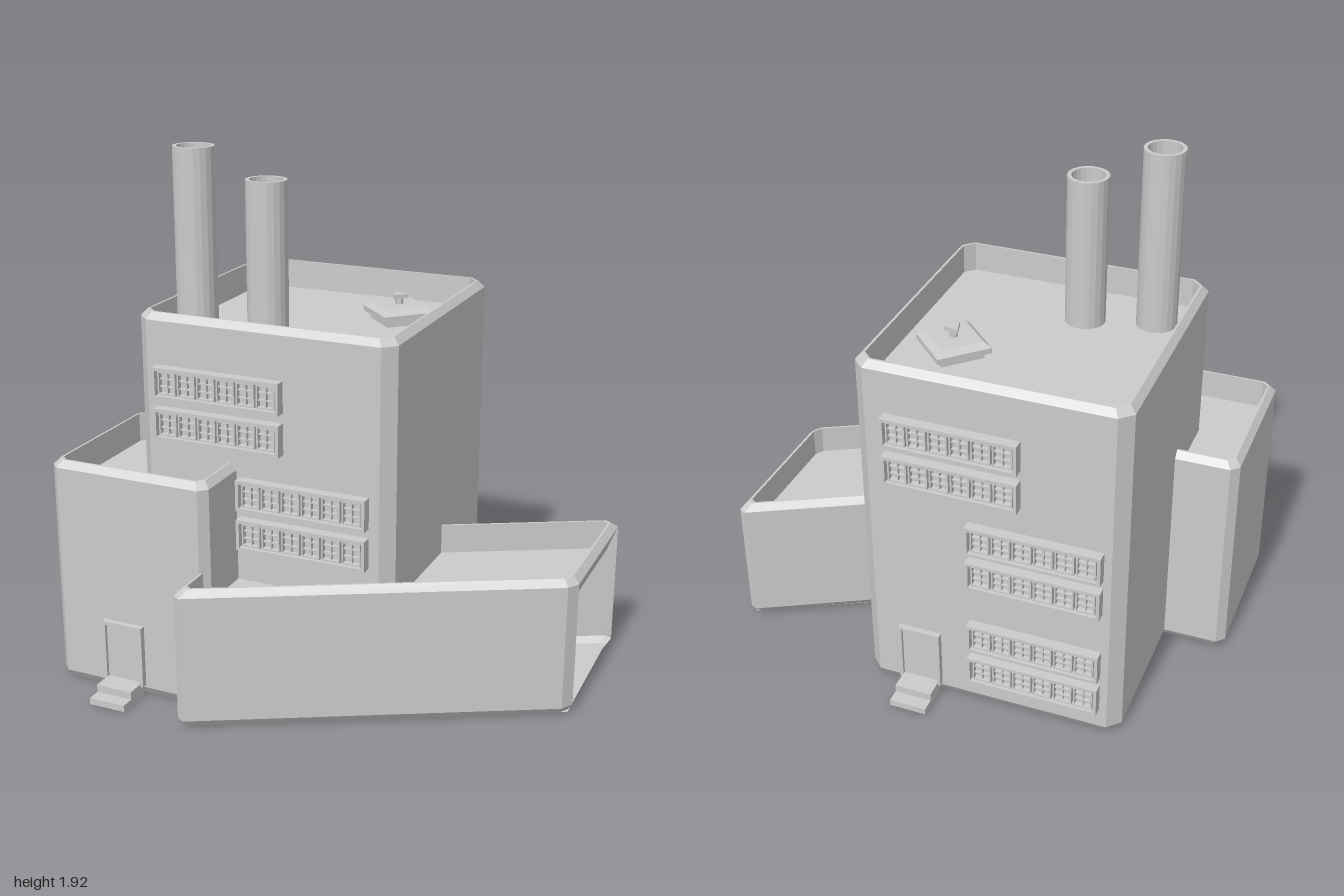
import * as THREE from 'three';

const mat = new THREE.MeshStandardMaterial({ color: 0xcccccc, flatShading: true, side: THREE.DoubleSide });

function addMesh(parent, name, geometry, x = 0, y = 0, z = 0) {
  const m = new THREE.Mesh(geometry, mat);
  m.name = name;
  m.position.set(x, y, z);
  parent.add(m);
  return m;
}

function addBox(parent, name, w, h, d, x, y, z) {
  return addMesh(parent, name, new THREE.BoxGeometry(w, h, d), x, y, z);
}

// Plan outline inset by d, with every corner cut by a chamfer.
// Points 2i and 2i+1 flank corner i, so segment 2i+1 is the side i -> i+1.
function outline(corners, d, cut) {
  const n = corners.length, pts = [];
  const dir = (a, b) => b.clone().sub(a).normalize();
  for (let i = 0; i < n; i++) {
    const p = corners[i];
    const toPrev = dir(p, corners[(i + n - 1) % n]);
    const toNext = dir(p, corners[(i + 1) % n]);
    const sin = Math.abs(toPrev.cross(toNext));
    const c = p.clone().addScaledVector(toPrev, d / sin).addScaledVector(toNext, d / sin);
    pts.push(c.clone().addScaledVector(toPrev, cut), c.clone().addScaledVector(toNext, cut));
  }
  return pts;
}

// Hollow block, open below: chamfered walls, thin parapet and a sunken roof deck.
function blockGeometry(corners, height, cut, openSide = -1) {
  const deck = height - 0.11;
  const steps = [[0.02, 0], [0, 0.03], [0, height - 0.025], [0.022, height],
    [0.03, height], [0.03, deck]];
  const rings = steps.map(([d, y]) =>
    outline(corners, d, cut * (1 - d * 8)).map((p) => new THREE.Vector3(p.x, y, p.y)));
  const pos = [];
  const tri = (...v) => v.forEach((p) => pos.push(p.x, p.y, p.z));
  const quad = (a, b, c, d) => { tri(a, b, c); tri(a, c, d); };
  const n = rings[0].length, open = 2 * openSide + 1;
  for (let r = 0; r < rings.length - 1; r++) {
    for (let i = 0; i < n; i++) {
      if (i === open && r < 2) continue;
      const j = (i + 1) % n;
      quad(rings[r][i], rings[r][j], rings[r + 1][j], rings[r + 1][i]);
    }
  }
  // roof deck
  const top = rings[5];
  for (let i = 1; i < n - 1; i++) tri(top[0], top[i], top[i + 1]);
  // sloping lintel over the open end
  if (openSide >= 0) {
    const j = (open + 1) % n;
    quad(top[open], top[j], rings[2][j], rings[2][open]);
  }
  const g = new THREE.BufferGeometry();
  g.setAttribute('position', new THREE.Float32BufferAttribute(pos, 3));
  g.computeVertexNormals();
  return g;
}

// Corners of a square turned by 45 degrees, running front, right, back, left.
function diamond(cx, cz, r) {
  return [[0, r], [r, 0], [0, -r], [-r, 0]].map(([x, z]) => new THREE.Vector2(cx + x, cz + z));
}

// Empty frame on a diamond's wall: local z points outward, local x runs along the wall.
function wallFrame(parent, name, cx, cz, r, angle) {
  const g = new THREE.Group();
  const half = r / Math.SQRT2;
  g.name = name;
  g.position.set(cx + Math.sin(angle) * half, 0, cz + Math.cos(angle) * half);
  g.rotation.y = angle;
  parent.add(g);
  return g;
}

// Strip window: frame, six bays and a fine grille
function addWindow(wall, u, y) {
  const w = 0.49, h = 0.115, t = 0.012;
  const g = new THREE.Group();
  g.name = 'stripWindow';
  g.position.set(u, y, 0);
  wall.add(g);
  addBox(g, 'glass', w - 0.01, h - 0.01, 0.012, 0, 0, 0.004);
  for (const s of [-1, 1]) {
    addBox(g, 'frameRail', w, t, 0.04, 0, s * (h - t) / 2, 0.02);
    addBox(g, 'frameStile', t, h, 0.04, s * (w - t) / 2, 0, 0.02);
  }
  const bay = (w - 0.03) / 6;
  for (let i = 0; i < 6; i++) {
    const x = (i - 2.5) * bay;
    for (const s of [-1, 1]) {
      addBox(g, 'bayStile', 0.006, 0.085, 0.022, x + s * 0.032, 0, 0.019);
      addBox(g, 'bayRail', 0.07, 0.006, 0.022, x, s * 0.04, 0.019);
    }
    addBox(g, 'grilleUpright', 0.004, 0.08, 0.014, x, 0, 0.017);
    for (const s of [-1, 1]) addBox(g, 'grilleBar', 0.064, 0.004, 0.014, x, s * 0.014, 0.017);
  }
}

// Door with frame and two steps
function addDoor(wall, u) {
  const g = new THREE.Group();
  g.name = 'entrance';
  g.position.x = u;
  wall.add(g);
  addBox(g, 'door', 0.14, 0.22, 0.012, 0, 0.155, 0.004);
  addBox(g, 'doorHead', 0.16, 0.012, 0.025, 0, 0.266, 0.01);
  for (const s of [-1, 1]) addBox(g, 'doorJamb', 0.012, 0.23, 0.025, s * 0.074, 0.155, 0.01);
  addBox(g, 'upperStep', 0.14, 0.052, 0.09, 0, 0.026, 0.045);
  addBox(g, 'lowerStep', 0.14, 0.024, 0.14, 0, 0.012, 0.07);
}

// Hollow round chimney
function addChimney(parent, x, z, top) {
  const r = 0.074, ri = 0.06, base = 1.25;
  const pts = [[ri, base], [ri, top], [r, top], [r, base]].map(([a, b]) => new THREE.Vector2(a, b));
  addMesh(parent, 'chimney', new THREE.LatheGeometry(pts, 20), x, 0, z);
}

export function createModel() {
  const model = new THREE.Group();
  model.name = 'factory';
  const tower = [0, -0.135, 0.69], annex = [-0.58, -0.135, 0.44];

  // Main masses
  addMesh(model, 'tower', blockGeometry(diamond(...tower), 1.36, 0.045));
  addMesh(model, 'annex', blockGeometry(diamond(...annex), 0.85, 0.03));
  const hall = [[-0.738, 0.392], [0.585, 0.803], [1.02, 0.368], [-0.303, -0.043]]
    .map(([x, z]) => new THREE.Vector2(x, z));
  addMesh(model, 'loadingHall', blockGeometry(hall, 0.52, 0.03, 1));

  // Floor of the open hall, reaching back to the tower
  const floor = new THREE.Shape([[0, -0.58], [0.585, -0.785], [0.985, -0.375], [0.37, -0.18]]
    .map(([x, y]) => new THREE.Vector2(x, y)));
  addMesh(model, 'hallFloor', new THREE.ShapeGeometry(floor), 0, 0.006, 0).rotation.x = -Math.PI / 2;

  // Windows and entrances
  const left = wallFrame(model, 'towerLeftWall', ...tower, -Math.PI / 4);
  for (const [u, y] of [[-0.16, 1.118], [-0.16, 0.967], [0.16, 0.745], [0.16, 0.597]]) addWindow(left, u, y);
  const back = wallFrame(model, 'towerBackWall', ...tower, Math.PI * 0.75);
  for (const y of [1.118, 0.967]) addWindow(back, -0.127, y);
  for (const y of [0.745, 0.597, 0.315, 0.167]) addWindow(back, 0.17, y);
  addDoor(back, -0.27);
  addDoor(wallFrame(model, 'annexWall', ...annex, -Math.PI / 4), -0.03);

  // Roof equipment
  addChimney(model, -0.45, -0.165, 1.92);
  addChimney(model, -0.23, -0.035, 1.81);
  const vent = new THREE.Group();
  vent.name = 'roofVent';
  vent.position.set(0.287, 1.25, -0.06);
  model.add(vent);
  addBox(vent, 'ventBase', 0.16, 0.03, 0.16, 0, 0.015, 0);
  addBox(vent, 'ventSlab', 0.2, 0.02, 0.2, 0, 0.035, 0);
  const cap = new THREE.CylinderGeometry(0.11, 0.141, 0.02, 4);
  addMesh(vent, 'ventCap', cap, 0, 0.055, 0).rotation.y = Math.PI / 4;
  addMesh(vent, 'ventStem', new THREE.CylinderGeometry(0.015, 0.015, 0.03, 6), 0, 0.075, 0);
  addMesh(vent, 'ventKnob', new THREE.CylinderGeometry(0.035, 0.035, 0.015, 3), 0, 0.095, 0).rotation.y = Math.PI;

  return model;
}
